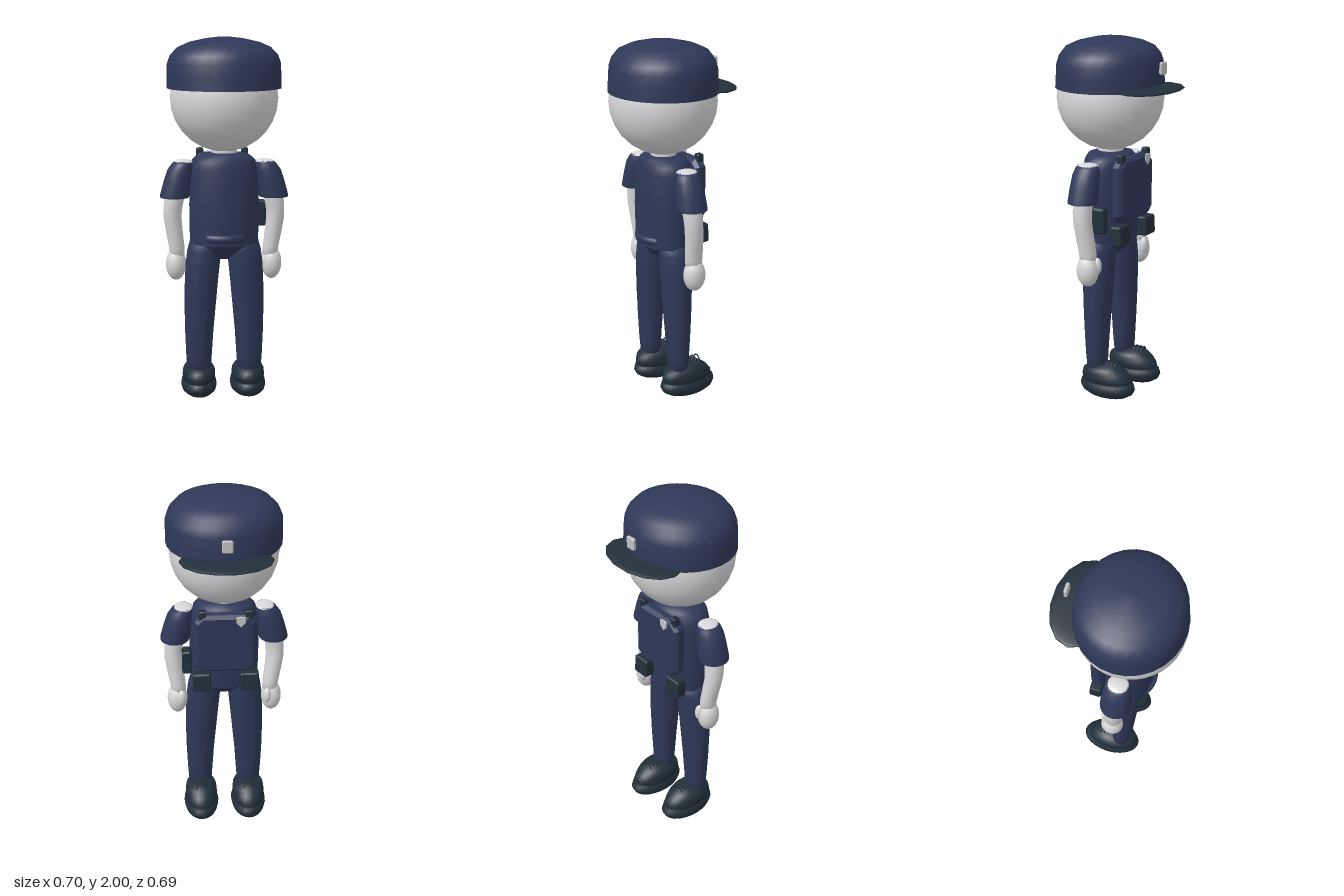
import * as THREE from 'three';

const mat = (name, color) => Object.assign(new THREE.MeshStandardMaterial({ color }), { name });

// Skin over stacked ellipses [x, y, z, rx, rz], listed bottom to top; a repeated row makes a crease
function loft(rows, seg = 24) {
  const pos = [], idx = [];
  rows.forEach(([x, y, z, rx, rz]) => {
    for (let i = 0; i < seg; i++) {
      const a = (i / seg) * Math.PI * 2;
      pos.push(x + Math.sin(a) * rx, y, z + Math.cos(a) * rz);
    }
  });
  for (let j = 0; j < rows.length - 1; j++) {
    for (let i = 0; i < seg; i++) {
      const k = (i + 1) % seg;
      const a = j * seg + i, b = j * seg + k, c = a + seg, d = b + seg;
      idx.push(a, b, d, a, d, c);
    }
  }
  // End caps
  const cap = (j, flip) => {
    const [x, y, z] = rows[j];
    const n = pos.length / 3;
    pos.push(x, y, z);
    for (let i = 0; i < seg; i++) {
      const a = j * seg + i, b = j * seg + ((i + 1) % seg);
      flip ? idx.push(n, b, a) : idx.push(n, a, b);
    }
  };
  cap(0, true);
  cap(rows.length - 1, false);
  const g = new THREE.BufferGeometry();
  g.setAttribute('position', new THREE.Float32BufferAttribute(pos, 3));
  g.setIndex(idx);
  g.computeVertexNormals();
  return g;
}

export function createModel() {
  const navy = mat('navy cloth', 0x2e3858);
  const dark = mat('dark leather', 0x22303a);
  const skin = mat('pale skin', 0xd8d8da);
  const silver = mat('silver', 0xc0c2c0);

  const model = new THREE.Group();
  model.name = 'uniformedFigure';
  const Z = 0.057; // body centre line

  const add = (name, geo, material, x = 0, y = 0, z = 0, parent = model) => {
    const m = new THREE.Mesh(geo, material);
    m.name = name;
    m.position.set(x, y, z);
    parent.add(m);
    return m;
  };
  const ball = (name, material, p, r, parent = model, seg = 20) => {
    const m = add(name, new THREE.SphereGeometry(1, seg, 14), material, ...p, parent);
    m.scale.set(...r);
    return m;
  };
  // Plate with bevelled rim, extruded along z and centred
  const plate = (points, depth, bevel) => {
    const shape = new THREE.Shape(points.map(([x, y]) => new THREE.Vector2(x, y)));
    return new THREE.ExtrudeGeometry(shape, {
      depth: depth - 2 * bevel, bevelEnabled: true, bevelThickness: bevel,
      bevelSize: bevel, bevelOffset: -bevel, bevelSegments: 1,
    }).translate(0, 0, bevel - depth / 2);
  };
  const octagon = (w, h, c) => [
    [-w + c, -h], [w - c, -h], [w, -h + c], [w, h - c],
    [w - c, h], [-w + c, h], [-w, h - c], [-w, -h + c],
  ];

  // Head and neck
  ball('head', skin, [0, 1.68, Z], [0.29, 0.29, 0.29], model, 36);
  add('neck', new THREE.CylinderGeometry(0.07, 0.07, 0.12, 20), skin, 0, 1.39, Z);

  // Cap, peak and cap badge
  add('cap', loft([
    [0, 1.735, Z, 0.27, 0.255], [0, 1.73, Z, 0.307, 0.29], [0, 1.73, Z, 0.307, 0.29],
    [0, 1.80, Z, 0.306, 0.284], [0, 1.86, Z, 0.305, 0.279], [0, 1.905, Z, 0.288, 0.265],
    [0, 1.945, Z, 0.25, 0.235], [0, 1.972, Z, 0.19, 0.175], [0, 1.992, Z, 0.10, 0.09],
    [0, 2.0, Z, 0.03, 0.03],
  ], 28), navy);
  ball('capPeak', dark, [0, 1.735, -0.192], [0.243, 0.02, 0.156], model, 14);
  add('capBadge', plate(octagon(0.028, 0.033, 0.006), 0.018, 0.004), silver, 0, 1.85, -0.269);

  // Shirt and hips
  add('shirt', loft([
    [0, 0.885, Z, 0.165, 0.115], [0, 0.89, Z, 0.187, 0.135], [0, 0.89, Z, 0.187, 0.135],
    [0, 1.0, Z, 0.188, 0.138], [0, 1.1, Z, 0.19, 0.14], [0, 1.2, Z, 0.187, 0.138],
    [0, 1.3, Z, 0.18, 0.132], [0, 1.345, Z, 0.168, 0.125], [0, 1.37, Z, 0.14, 0.115],
    [0, 1.385, Z, 0.08, 0.07],
  ], 28), navy);
  add('hips', loft([
    [0, 0.8, Z, 0.03, 0.03], [0, 0.83, Z, 0.09, 0.075], [0, 0.87, Z, 0.155, 0.105],
    [0, 0.9, Z, 0.18, 0.12], [0, 0.93, Z, 0.18, 0.12],
  ]), navy);

  // Waistband showing at the back of the shirt
  const band = add('waistband', new THREE.TorusGeometry(0.14, 0.012, 8, 16, Math.PI * 0.46), navy, 0, 0.93, Z + 0.004);
  band.geometry.rotateZ(Math.PI * 0.27).rotateX(Math.PI / 2);
  band.scale.set(1.05, 1.8, 1);

  // Chest plate, radios, pouches and chest badge
  add('vestPlate', plate(octagon(0.165, 0.173, 0.04), 0.07, 0.018), navy, 0, 1.193, -0.082);
  add('chestBadge', plate([[0, -0.032], [0.024, -0.005], [0.024, 0.026], [0, 0.032], [-0.024, 0.026], [-0.024, -0.005]], 0.009, 0.002),
    silver, -0.08, 1.34, -0.13);
  add('holster', plate(octagon(0.026, 0.07, 0.01), 0.07, 0.008), dark, 0.208, 1.04, -0.012);

  for (const s of [1, -1]) {
    const side = s > 0 ? 'left' : 'right';
    add(side + 'Radio', plate(octagon(0.019, 0.045, 0.005), 0.038, 0.005), dark, s * 0.124, 1.347, -0.09);
    const pouch = add(side + 'Pouch', plate(octagon(0.05, 0.053, 0.008), 0.064, 0.007), dark, s * 0.13, 0.953, -0.09);
    pouch.rotation.x = 0.06;

    // Sleeve and bare shoulder top
    add(side + 'Sleeve', loft([
      [s * 0.268, 1.155, Z, 0.06, 0.06], [s * 0.27, 1.143, Z, 0.08, 0.083], [s * 0.27, 1.143, Z, 0.08, 0.083],
      [s * 0.267, 1.16, Z, 0.08, 0.084], [s * 0.252, 1.23, Z, 0.076, 0.08], [s * 0.238, 1.29, Z, 0.07, 0.075],
      [s * 0.225, 1.325, Z, 0.058, 0.065], [s * 0.22, 1.34, Z, 0.045, 0.055],
    ], 18), navy);
    ball(side + 'Shoulder', skin, [s * 0.22, 1.335, Z], [0.05, 0.014, 0.058]);

    // Bare arm and hand
    add(side + 'Arm', loft([
      [s * 0.256, 0.80, 0.035, 0.04, 0.045], [s * 0.258, 0.86, 0.036, 0.043, 0.049], [s * 0.27, 0.94, 0.042, 0.046, 0.05],
      [s * 0.281, 1.03, 0.051, 0.049, 0.05], [s * 0.278, 1.09, 0.055, 0.051, 0.052], [s * 0.266, 1.16, Z, 0.056, 0.054],
      [s * 0.245, 1.25, Z, 0.05, 0.05],
    ], 18), skin);
    ball(side + 'Hand', skin, [s * 0.263, 0.768, 0.034], [0.056, 0.09, 0.062]);
    ball(side + 'Thumb', skin, [s * 0.238, 0.793, -0.013], [0.023, 0.047, 0.022]);

    // Trouser leg
    add(side + 'Leg', loft([
      [s * 0.14, 0.15, Z - 0.003, 0.064, 0.052], [s * 0.14, 0.25, Z, 0.071, 0.059], [s * 0.138, 0.4, Z, 0.079, 0.068],
      [s * 0.132, 0.55, Z, 0.087, 0.077], [s * 0.126, 0.66, Z, 0.091, 0.083], [s * 0.118, 0.77, Z, 0.094, 0.087],
      [s * 0.108, 0.85, Z, 0.094, 0.086], [s * 0.098, 0.92, Z, 0.085, 0.08],
    ]), navy);

    // Shoe: sole, upper, pale patch underneath and lace loops
    const shoe = new THREE.Group();
    shoe.name = side + 'Shoe';
    shoe.position.x = s * 0.138;
    model.add(shoe);
    add('sole', loft([
      [0, 0.009, -0.01, 0.05, 0.085], [0, 0.02, -0.01, 0.074, 0.125], [0, 0.04, -0.01, 0.094, 0.157],
      [0, 0.066, -0.01, 0.1, 0.17], [0, 0.092, -0.01, 0.095, 0.162], [0, 0.112, -0.01, 0.08, 0.14],
    ]), dark, 0, 0, 0, shoe);
    add('upper', loft([
      [0, 0.09, -0.008, 0.088, 0.152], [0, 0.125, -0.004, 0.092, 0.152], [0, 0.155, 0.004, 0.089, 0.136],
      [0, 0.176, 0.004, 0.078, 0.108], [0, 0.192, -0.008, 0.055, 0.07], [0, 0.2, -0.018, 0.025, 0.03],
    ]), dark, 0, 0, 0, shoe);
    ball('solePatch', skin, [0, 0.012, -0.01], [0.042, 0.012, 0.068], shoe);
    for (let i = 0; i < 3; i++) {
      const lace = add('lace', new THREE.TorusGeometry(0.03, 0.004, 6, 12, Math.PI), dark, 0, 0.186, -0.022 - i * 0.024, shoe);
      lace.rotation.x = -0.2;
    }
  }
  return model;
}
